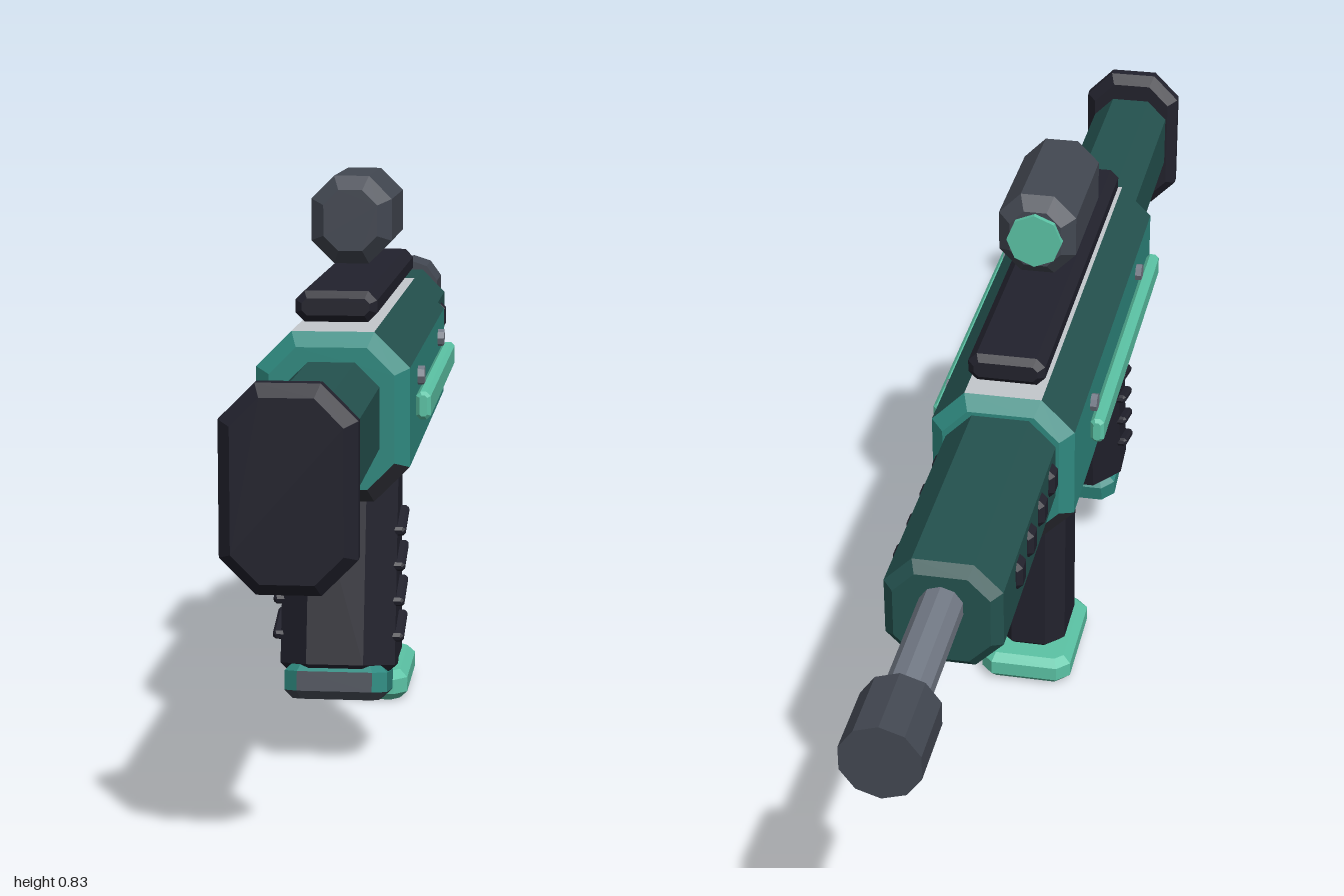
import * as THREE from 'three';

const mat = (name, color) => {
  const m = new THREE.MeshStandardMaterial({ color, flatShading: true });
  m.name = name;
  return m;
};

export function createModel() {
  const root = new THREE.Group();
  root.name = 'blaster';

  const darkTeal = mat('darkTeal', 0x24524f);
  const teal = mat('teal', 0x2f8a80);
  const mint = mat('mint', 0x5cc4a6);
  const navy = mat('navy', 0x22222d);
  const charcoal = mat('charcoal', 0x32333a);
  const gunGrey = mat('gunGrey', 0x434852);
  const steel = mat('steel', 0x737a86);
  const silver = mat('silver', 0xc4c8cd);

  const add = (name, geo, material, x = 0, y = 0, z = 0, parent = root) => {
    const mesh = new THREE.Mesh(geo, material);
    mesh.name = name;
    mesh.position.set(x, y, z);
    parent.add(mesh);
    return mesh;
  };

  // Bar along z: w by h with corners cut by c and both ends bevelled by b
  const bar = (w, h, d, c, b) => {
    const x = w / 2, y = h / 2;
    const shape = new THREE.Shape([
      [x - c, -y], [x, -y + c], [x, y - c], [x - c, y],
      [-x + c, y], [-x, y - c], [-x, -y + c], [-x + c, -y],
    ].map(([px, py]) => new THREE.Vector2(px, py)));
    return new THREE.ExtrudeGeometry(shape, {
      depth: d - 2 * b, bevelEnabled: true, bevelThickness: b,
      bevelSize: b, bevelOffset: -b, bevelSegments: 1, steps: 1,
    }).translate(0, 0, b - d / 2);
  };
  // The same bar standing upright: w across, h tall, d deep
  const post = (w, h, d, c, b) => bar(w, d, h, c, b).rotateX(-Math.PI / 2);

  // Give each triangle a material index chosen from its normal
  const paint = (geo, pick) => {
    geo.clearGroups();
    const p = geo.attributes.position;
    const tri = new THREE.Triangle(), n = new THREE.Vector3();
    for (let i = 0; i < p.count; i += 3) {
      tri.setFromAttributeAndIndices(p, i, i + 1, i + 2).getNormal(n);
      geo.addGroup(i, 3, pick(n));
    }
    return geo;
  };

  // Receiver: silver top, dark upper slopes, teal sides, charcoal underside
  add('receiver', paint(bar(0.216, 0.24, 0.77, 0.05, 0.02), (n) => {
    if (n.y > 0.9) return 0;
    if (n.y > 0.4 && Math.abs(n.z) < 0.3) return 1;
    return n.y < -0.4 ? 3 : 2;
  }), [silver, darkTeal, teal, charcoal], 0, 0.515, 0.12);

  // Stock and butt pad
  add('stock', bar(0.134, 0.155, 0.48, 0.034, 0.015), darkTeal, 0, 0.517, 0.715);
  add('buttPad', bar(0.17, 0.26, 0.05, 0.045, 0.016), navy, 0, 0.505, 0.975);

  // Handguard, barrel and muzzle
  add('handguard', bar(0.166, 0.165, 0.42, 0.04, 0.015), darkTeal, 0, 0.527, -0.45);
  const barrel = new THREE.CylinderGeometry(0.032, 0.032, 0.27, 10).rotateX(Math.PI / 2);
  add('barrel', barrel, steel, 0, 0.547, -0.775);
  const muzzle = new THREE.CylinderGeometry(0.056, 0.056, 0.112, 10).rotateX(Math.PI / 2);
  add('muzzle', muzzle, gunGrey, 0, 0.547, -0.944);

  // Top rail and sight
  add('topRail', bar(0.116, 0.044, 0.675, 0.013, 0.01), navy, 0, 0.665, 0.112);
  add('sight', bar(0.12, 0.13, 0.243, 0.034, 0.02), gunGrey, 0, 0.77, 0.124);
  const lens = new THREE.CylinderGeometry(0.043, 0.043, 0.02, 8).rotateX(Math.PI / 2);
  add('sightLens', lens, mint, 0, 0.77, 0.004);

  // Magazine
  add('magazine', post(0.112, 0.37, 0.147, 0.028, 0.014), navy, 0, 0.225, 0.017);
  add('magazineBase', post(0.148, 0.047, 0.203, 0.02, 0.012), mint, 0, 0.0235, 0.006);

  // Raked grip with its base cap
  const grip = new THREE.Group();
  grip.name = 'grip';
  grip.position.set(0, 0.275, 0.373);
  grip.rotation.x = -0.21;
  root.add(grip);
  add('gripBody', post(0.166, 0.31, 0.145, 0.042, 0.016), navy, 0, 0, 0, grip);
  add('gripBase', paint(post(0.148, 0.052, 0.14, 0.02, 0.012), (n) =>
    (n.y < -0.5 || n.z > 0.9 ? 1 : 0)), [teal, gunGrey], 0, -0.163, 0.002, grip);

  // Trigger guard and trigger
  const guard = new THREE.Shape([
    [-0.275, 0.41], [-0.262, 0.36], [-0.22, 0.287], [-0.11, 0.287], [-0.075, 0.345], [-0.075, 0.385],
    [-0.1, 0.365], [-0.128, 0.322], [-0.205, 0.322], [-0.235, 0.375], [-0.235, 0.41],
  ].map(([z, y]) => new THREE.Vector2(z, y)));
  const guardGeo = new THREE.ExtrudeGeometry(guard, { depth: 0.05, bevelEnabled: false })
    .translate(0, 0, -0.025).rotateY(Math.PI / 2);
  add('triggerGuard', guardGeo, gunGrey);
  add('trigger', post(0.03, 0.07, 0.032, 0.007, 0.006), mint, 0, 0.382, 0.18).rotation.x = 0.2;

  // Mirrored side details
  for (const [side, s] of [['left', 1], ['right', -1]]) {
    add(side + 'SideRail', bar(0.021, 0.04, 0.565, 0.006, 0.005), mint, s * 0.1225, 0.523, 0.147);
    for (const z of [-0.1, 0.335]) {
      const pin = new THREE.CylinderGeometry(0.014, 0.014, 0.02, 8).rotateZ(Math.PI / 2);
      add(side + 'Pin', pin, steel, s * 0.108, 0.554, z);
    }
    for (let i = 0; i < 4; i++) {
      add(side + 'Vent', bar(0.024, 0.044, 0.036, 0.008, 0.007), navy,
        s * 0.08, 0.537, -0.305 - i * 0.08);
      const ridge = add(side + 'GripRidge', bar(0.026, 0.014, 0.076, 0.004, 0.004), navy,
        s * 0.082, 0.07 - i * 0.051, 0, grip);
      ridge.rotation.x = 0.5;
    }
  }

  return root;
}
